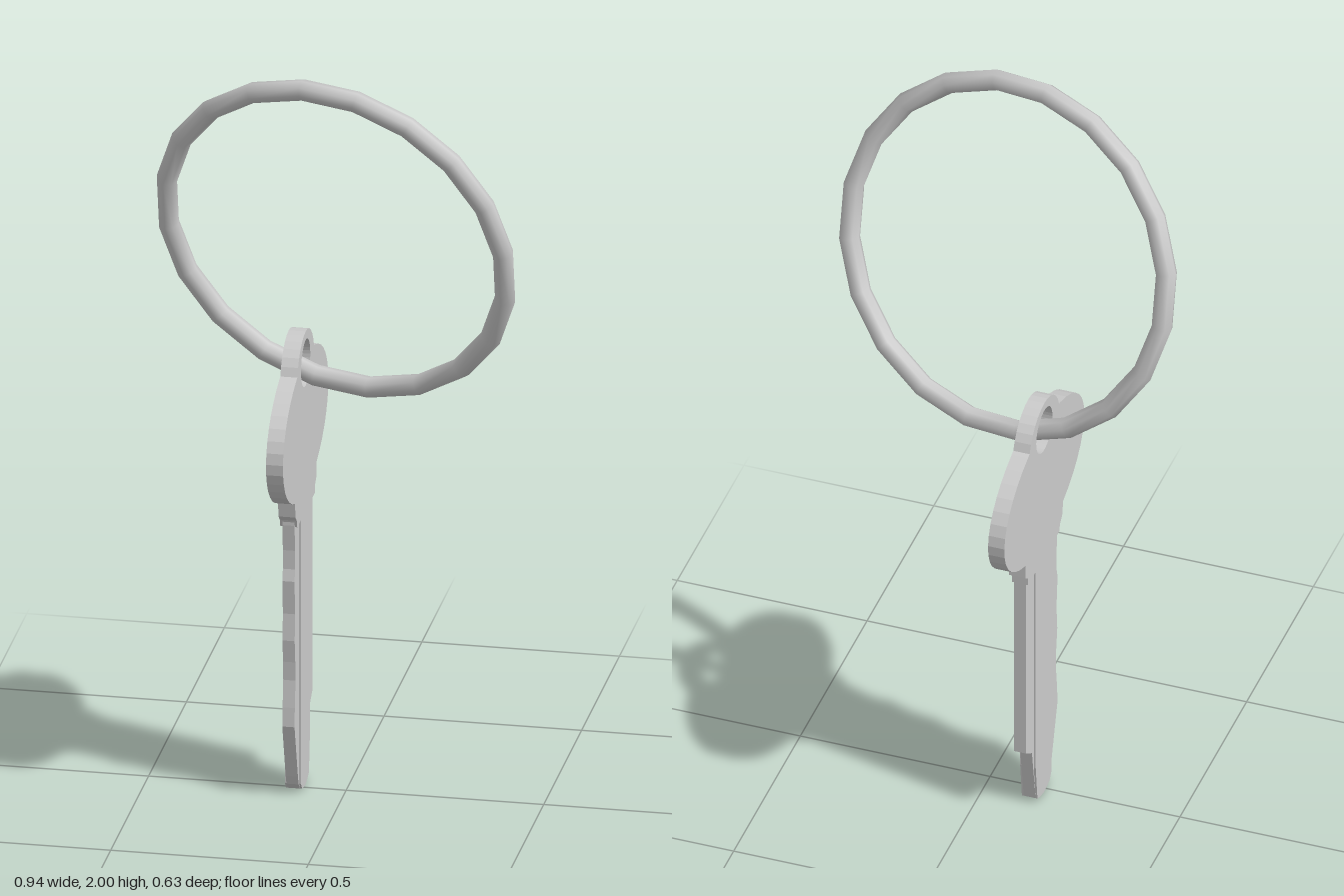
import * as THREE from 'three';

const KEY_X = -0.127; // plane of the key
const MID_Z = -0.016; // centre line of the key

const material = new THREE.MeshStandardMaterial({ color: 0xcccccc });

// Points along an ellipse, angles in degrees
function arc(cx, cy, rx, ry, from, to, steps) {
  return Array.from({ length: steps + 1 }, (_, i) => {
    const t = THREE.MathUtils.degToRad(from + (to - from) * i / steps);
    return [cx + rx * Math.cos(t), cy + ry * Math.sin(t)];
  });
}

function toShape(points) {
  return new THREE.Shape(points.map(([z, y]) => new THREE.Vector2(z, y)));
}

// Flat plate from a (z, y) outline, centred on the plane of the key
function plate(name, shape, thickness) {
  const geometry = new THREE.ExtrudeGeometry(shape, { depth: thickness, bevelEnabled: false, curveSegments: 20 });
  geometry.translate(0, 0, -thickness / 2);
  geometry.rotateY(-Math.PI / 2);
  geometry.translate(KEY_X, 0, 0);
  const mesh = new THREE.Mesh(geometry, material);
  mesh.name = name;
  return mesh;
}

export function createModel() {
  const model = new THREE.Group();
  model.name = 'keyOnRing';

  const key = new THREE.Group();
  key.name = 'key';
  model.add(key);

  // Oval bow with hanging loop on top and stepped neck below
  const bow = toShape([
    ...arc(MID_Z, 0.968, 0.3, 0.18, -62, 66, 14),
    ...arc(MID_Z, 1.1, 0.116, 0.116, 18, 162, 12),
    ...arc(MID_Z, 0.968, 0.3, 0.18, 114, 242, 14),
    [-0.157, 0.77], [-0.138, 0.755], [-0.138, 0.735],
    [0.095, 0.735], [0.102, 0.755], [0.118, 0.77],
  ]);
  const hole = new THREE.Path();
  hole.absarc(MID_Z, 1.132, 0.061, 0, Math.PI * 2, true);
  bow.holes.push(hole);
  key.add(plate('bow', bow, 0.043));

  // Blade with wavy cut edge, straight back and stepped tip
  const blade = toShape([
    [-0.138, 0.76], [-0.138, 0.207], [-0.092, 0.175], [-0.065, 0.015],
    [-0.045, 0.006], [-0.015, 0], [0.025, 0.006], [0.045, 0.025], [0.055, 0.05],
    [0.1, 0.2], [0.096, 0.25], [0.087, 0.32], [0.09, 0.37], [0.098, 0.43],
    [0.092, 0.5], [0.1, 0.59], [0.092, 0.62], [0.092, 0.67], [0.1, 0.74], [0.1, 0.76],
  ]);
  key.add(plate('blade', blade, 0.031));

  // Raised rib down the middle of both blade faces
  const rib = toShape([
    [-0.078, 0.76], [-0.078, 0.12], [-0.065, 0.015], [-0.045, 0.006],
    [-0.015, 0], [0.025, 0.006], [0.04, 0.025], [0.04, 0.76],
  ]);
  key.add(plate('bladeRib', rib, 0.041));

  // Tilted ring passing through the loop
  const normal = new THREE.Vector3(-0.204, -0.271, 0.941).normalize();
  const across = new THREE.Vector3(1, 0, 0).addScaledVector(normal, -normal.x).normalize();
  const up = new THREE.Vector3().crossVectors(normal, across);
  const ringGeometry = new THREE.TorusGeometry(0.457, 0.027, 8, 20);
  ringGeometry.rotateZ(THREE.MathUtils.degToRad(8));
  const ring = new THREE.Mesh(ringGeometry, material);
  ring.name = 'ring';
  ring.quaternion.setFromRotationMatrix(new THREE.Matrix4().makeBasis(across, up, normal));
  ring.position.set(0, 1.533, 0.134);
  model.add(ring);

  return model;
}
